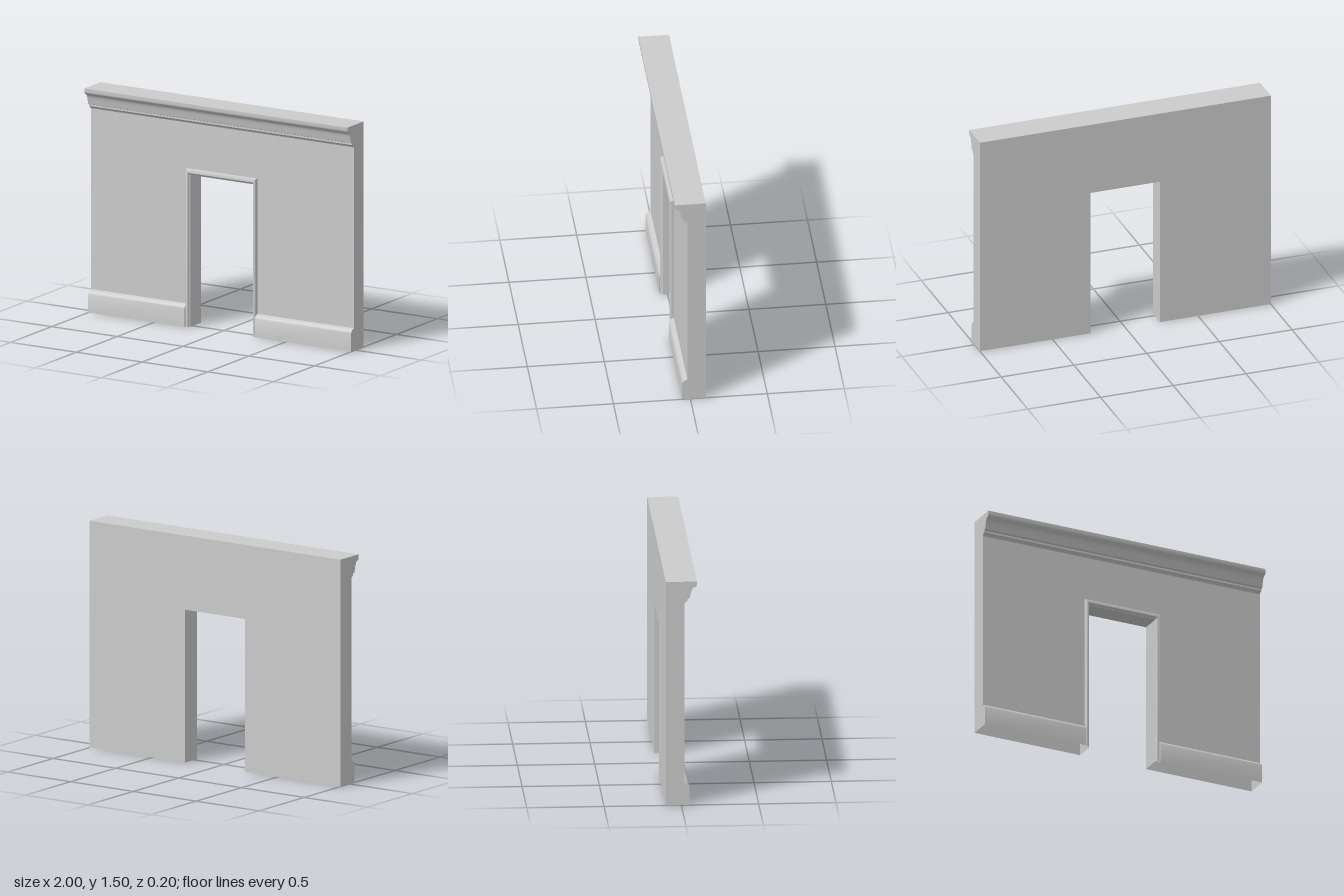
import * as THREE from 'three';
import { toCreasedNormals } from 'three/addons/utils/BufferGeometryUtils.js';

const BACK = -0.1, FACE = 0.02, TOP = 1.5;      // wall planes and height
const DOOR = { x: 0.238, y: 1.01 };             // clear opening
const TRIM = { x: 0.267, y: 1.05 };             // outer edge of the door trim

// Profiles as [z, y], bottom to top
const skirtingProfile = [
  [0.053, 0], [0.053, 0.122], [0.049, 0.132], [0.043, 0.139], [0.035, 0.144], [FACE, 0.15],
];
const corniceProfile = [
  [FACE, 1.352], [0.024, 1.36], [0.03, 1.365], [0.04, 1.371], [0.04, 1.383], [0.053, 1.388],
  [0.057, 1.403], [0.061, 1.42], [0.066, 1.438], [0.072, 1.451], [0.08, 1.459],
  [0.09, 1.462], [0.097, 1.468], [0.1, 1.477], [0.1, TOP],
];
// Door trim as [share of width from inner to outer edge, z]
const trimProfile = [
  [0, 0.03], [0.22, 0.035], [0.38, 0.046], [0.78, 0.046], [0.93, 0.042], [1, 0.035], [1, FACE],
];

const material = new THREE.MeshStandardMaterial({ color: 0xcccccc, side: THREE.DoubleSide });

export function createModel() {
  const group = new THREE.Group();

  const add = (name, geometry) => {
    const mesh = new THREE.Mesh(geometry, material);
    mesh.name = name;
    group.add(mesh);
  };

  // Skin between equal rows of [x, y, z] points
  const loft = (rows) => {
    const n = rows[0].length, index = [];
    for (let i = 0; i < rows.length - 1; i++) {
      for (let j = 0; j < n - 1; j++) {
        const a = i * n + j, b = a + n;
        index.push(a, b, b + 1, a, b + 1, a + 1);
      }
    }
    const g = new THREE.BufferGeometry();
    g.setAttribute('position', new THREE.Float32BufferAttribute(rows.flat(2), 3));
    g.setIndex(index);
    return toCreasedNormals(g, 0.6);
  };

  // Moulding running along x
  const run = (profile, x0, x1) =>
    loft([x0, x1].map((x) => profile.map(([z, y]) => [x, y, z])));

  // Flat end facing along x in direction s
  const endCap = (profile, x, s) => {
    const shape = new THREE.Shape(profile.map(([z, y]) => new THREE.Vector2(-s * z, y)));
    return new THREE.ShapeGeometry(shape).rotateY(s * Math.PI / 2).translate(x, 0, 0);
  };

  // Sheet with a doorway cut up from its lower edge
  const doorSheet = (bottom, top, door) => {
    const points = [
      [-1, bottom], [-door.x, bottom], [-door.x, door.y], [door.x, door.y],
      [door.x, bottom], [1, bottom], [1, top], [-1, top],
    ];
    return new THREE.ShapeGeometry(new THREE.Shape(points.map((p) => new THREE.Vector2(...p))));
  };

  // Mitred sweep up, over and down around the doorway
  const aroundDoor = (profile) => {
    const corners = [[-1, 0], [-1, 1], [1, 1], [1, 0]];
    return loft(corners.map(([sx, up]) => profile.map(([u, z]) => [
      sx * THREE.MathUtils.lerp(DOOR.x, TRIM.x, u),
      up * THREE.MathUtils.lerp(DOOR.y, TRIM.y, u),
      z,
    ])));
  };

  // Wall shell, open underneath
  add('wallFront', doorSheet(0.15, 1.352, TRIM).translate(0, 0, FACE));
  add('wallBack', doorSheet(0, TOP, DOOR).rotateY(Math.PI).translate(0, 0, BACK));
  add('wallTop', new THREE.PlaneGeometry(2, 0.2).rotateX(-Math.PI / 2).translate(0, TOP, 0));

  // Doorway lining and trim
  add('doorReveal', aroundDoor([[0, BACK], [0, trimProfile[0][1]]]));
  add('doorTrim', aroundDoor(trimProfile));

  // Cornice across the whole wall
  add('cornice', run(corniceProfile, -1, 1));

  // Wall ends and skirting on both sides of the door
  const wallProfile = [[BACK, 0], ...skirtingProfile, ...corniceProfile, [BACK, TOP]];
  for (const [side, s] of [['left', 1], ['right', -1]]) {
    add(side + 'WallEnd', endCap(wallProfile, s, s));
    add(side + 'Skirting', s > 0 ? run(skirtingProfile, TRIM.x, 1) : run(skirtingProfile, -1, -TRIM.x));
    add(side + 'SkirtingEnd', endCap([[FACE, 0], ...skirtingProfile], s * TRIM.x, -s));
  }
  return group;
}
